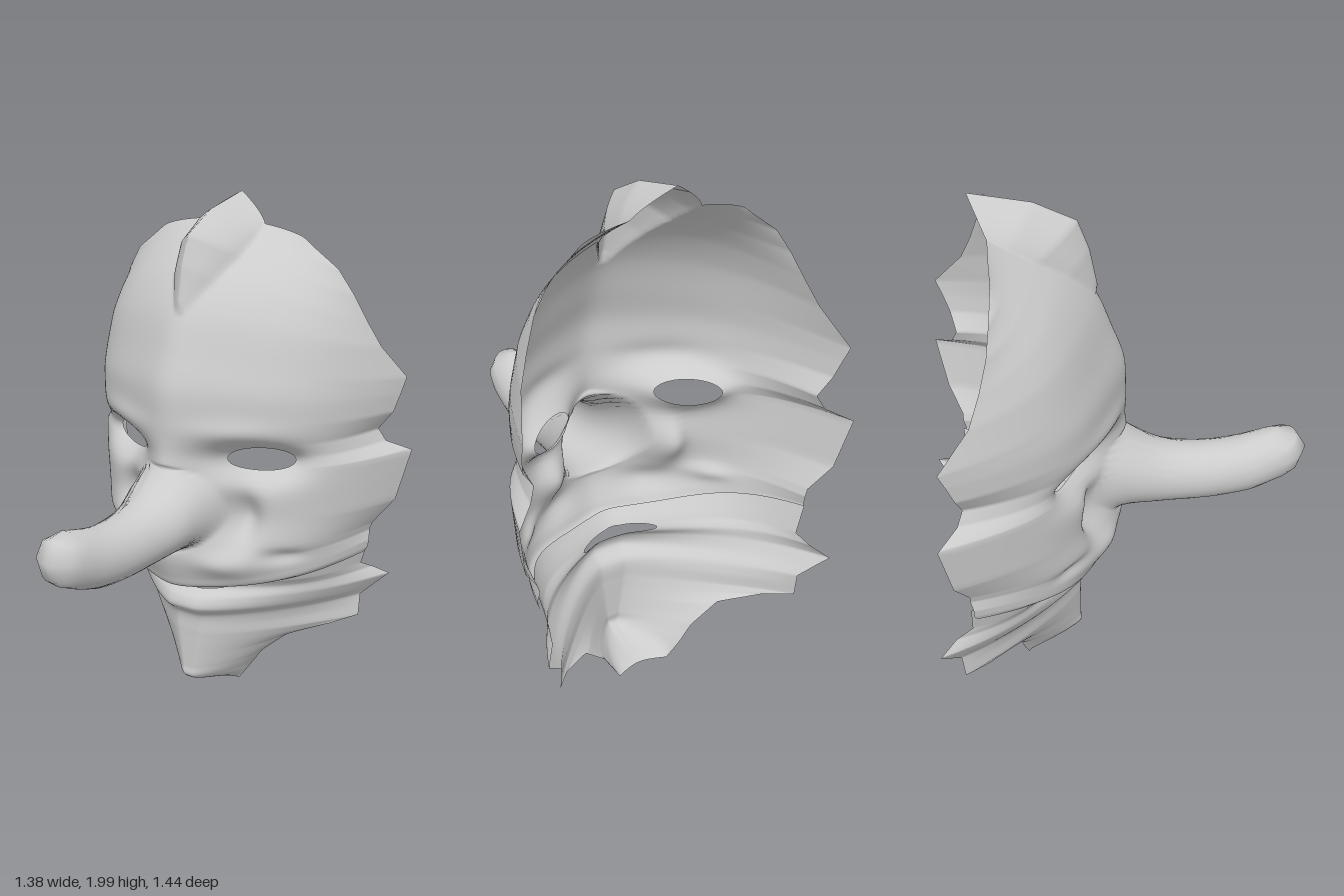
import * as THREE from 'three';

const { lerp, clamp, smoothstep } = THREE.MathUtils;
const material = new THREE.MeshStandardMaterial({ color: 0xcccccc, side: THREE.DoubleSide });

// Rows run from top to bottom: centre y, edge y, centre z, edge x, edge z,
// and optionally crest half-width, crest y, crest z.
const FACE = [
  [1.90, 1.84, -0.46, 0.33, -0.46, 0.14, 2.00, -0.52],
  [1.86, 1.75, -0.38, 0.45, -0.475, 0.14, 1.955, -0.30],
  [1.80, 1.66, -0.28, 0.51, -0.49, 0.13, 1.88, -0.15],
  [1.72, 1.56, -0.18, 0.555, -0.52, 0.09, 1.77, -0.11],
  [1.60, 1.46, -0.09, 0.60, -0.56, 0.02, 1.61, -0.08],
  [1.45, 1.33, -0.03, 0.66, -0.67],
  [1.33, 1.27, 0.01, 0.65, -0.645],
  [1.22, 1.20, 0.015, 0.635, -0.62],
  [1.13, 1.13, 0.01, 0.585, -0.60],
  [1.07, 1.08, 0.00, 0.61, -0.62],
  [1.02, 1.04, 0.00, 0.69, -0.69],
  [0.84, 0.84, -0.02, 0.65, -0.65],
  [0.72, 0.74, 0.00, 0.58, -0.60],
  [0.66, 0.71, 0.00, 0.57, -0.60],
  [0.57, 0.67, -0.03, 0.575, -0.59],
  [0.53, 0.64, -0.05, 0.57, -0.59],
  [0.515, 0.62, -0.12, 0.56, -0.58],
];
const BEARD = [
  [0.58, 0.67, -0.11, 0.57, -0.60],
  [0.52, 0.56, -0.16, 0.54, -0.60],
  [0.49, 0.53, -0.165, 0.56, -0.66],
  [0.45, 0.49, -0.125, 0.61, -0.72],
  [0.41, 0.44, -0.115, 0.56, -0.68],
  [0.36, 0.40, -0.165, 0.52, -0.65],
  [0.28, 0.31, -0.17, 0.52, -0.64],
  [0.23, 0.285, -0.17, 0.44, -0.55],
  [0.18, 0.24, -0.17, 0.30, -0.45],
  [0.12, 0.15, -0.17, 0.20, -0.42],
  [0.08, 0.08, -0.17, 0.155, -0.41],
  [0.01, 0.01, -0.36, 0.11, -0.39],
];
// Nose rings from root to tip: z, centre y, half-width, half-height.
const NOSE = [
  [-0.07, 0.86, 0.20, 0.18], [0.02, 0.855, 0.165, 0.16], [0.10, 0.825, 0.142, 0.13],
  [0.20, 0.805, 0.122, 0.115], [0.35, 0.80, 0.114, 0.11], [0.50, 0.82, 0.11, 0.11],
  [0.62, 0.862, 0.10, 0.105], [0.68, 0.868, 0.07, 0.075], [0.72, 0.87, 0, 0],
];
const nosePath = new THREE.CatmullRomCurve3(NOSE.map(r => new THREE.Vector3(0, r[1], r[0])));
const noseSize = new THREE.CatmullRomCurve3(NOSE.map(r => new THREE.Vector3(r[2], r[3], 0)));

// Soft hollows and swellings, mirrored: x, y, x-spread, y-spread, depth.
const RELIEF = [
  [0.30, 1.05, 0.14, 0.07, -0.15],
  [0.25, 1.17, 0.16, 0.05, 0.02],
  [0.25, 0.83, 0.07, 0.11, -0.08],
  [0.40, 0.68, 0.06, 0.03, -0.03],
  [0.22, 0.64, 0.10, 0.05, 0.03],
  [0.00, 1.04, 0.09, 0.07, 0.02],
];
const relief = (x, y) => RELIEF.reduce((sum, [cx, cy, sx, sy, a]) =>
  sum + a * Math.exp(-(((Math.abs(x) - cx) / sx) ** 2) - ((y - cy) / sy) ** 2), 0);

// Draws the root ellipse of the face out into the long nose
function pullNose(p) {
  const [, cy, rx, ry] = NOSE[0];
  const dx = p.x / rx, dy = (p.y - cy) / ry, d = Math.hypot(dx, dy);
  if (d >= 1) return;
  const a = Math.atan2(dy, dx), centre = nosePath.getPoint(1 - d), size = noseSize.getPoint(1 - d);
  const ring = new THREE.Vector3(Math.cos(a) * size.x, centre.y + Math.sin(a) * size.y, centre.z);
  p.lerp(ring, smoothstep(1 - d, 0, 0.2));
}

// Pointed crest over the forehead
function raiseCrest(p, width, y, z) {
  const t = (1 - Math.abs(p.x) / width) ** 0.8;
  p.y = lerp(p.y, y, t);
  p.z = lerp(p.z, z, t);
}

// Curved symmetric sheet with elliptical holes [x, y, rx, ry].
function sheet(name, rows, sweep, holes, shape) {
  const cols = 128, steps = 8, last = rows.length - 1, count = last * steps;
  const centre = new THREE.CatmullRomCurve3(rows.map(r => new THREE.Vector3(r[0], r[2], 0)));
  const at = (v, c) => {
    const w = clamp(v, 0, last), k = Math.min(Math.floor(w), last - 1);
    return lerp(rows[k][c], rows[k + 1][c], w - k);
  };
  // Average over neighbouring rows, so notches stay near the rim
  const soft = (v, c) => [-2, -1, 0, 1, 2].reduce((sum, o) => sum + at(v + o, c) / 5, 0);
  const positions = [], index = [], inside = [];
  for (let i = 0; i <= count; i++) {
    const v = i / steps, mid = centre.getPoint(i / count);
    const edgeX = at(v, 3), edgeZ = at(v, 4), softZ = soft(v, 4);
    const softX = Math.min(soft(v, 3), edgeX * 1.2);
    for (let j = 0; j <= cols; j++) {
      const u = j / cols * 2 - 1;
      const half = lerp(softX, edgeX, u ** 4);
      const p = new THREE.Vector3(u * half, lerp(mid.x, at(v, 1), u * u), 0);
      // Vertices inside a hole slide out to its rim
      let hit = false;
      for (const [hx, hy, rx, ry] of holes) {
        const dx = (p.x - hx) / rx, dy = (p.y - hy) / ry, d = Math.hypot(dx, dy);
        if (d < 1) {
          hit = true;
          if (d > 1e-4) p.set(hx + dx / d * rx, hy + dy / d * ry, 0);
        }
      }
      const s = Math.abs(p.x) / half;
      p.z = lerp(mid.y, softZ, sweep(s, i / count)) + (edgeZ - softZ) * s ** 8;
      shape(p);
      const crest = at(v, 5);
      if (Math.abs(p.x) < crest) raiseCrest(p, crest, at(v, 6), at(v, 7));
      inside.push(hit);
      positions.push(p.x, p.y, p.z);
    }
  }
  const add = (...tri) => { if (!tri.every(n => inside[n])) index.push(...tri); };
  for (let i = 0; i < count; i++) {
    for (let j = 0; j < cols; j++) {
      const a = i * (cols + 1) + j, b = a + cols + 1;
      add(a, b, b + 1);
      add(a, b + 1, a + 1);
    }
  }
  const geometry = new THREE.BufferGeometry();
  geometry.setAttribute('position', new THREE.Float32BufferAttribute(positions, 3));
  geometry.setIndex(index);
  geometry.computeVertexNormals();
  const mesh = new THREE.Mesh(geometry, material);
  mesh.name = name;
  return mesh;
}

export function createModel() {
  const mask = new THREE.Group();
  mask.name = 'mask';
  // How far the sheets have swept back at a share s of their half-width
  const faceSweep = s => 0.5 * (Math.hypot(s, 0.1) - 0.1) + 0.5475 * s ** 6;
  const beardSweep = s => (Math.max(0, s - 0.1) / 0.9) ** 1.3;
  // Forehead, cheeks, nose and upper lip, open at the eyes
  mask.add(sheet('face', FACE, faceSweep,
    [[0.295, 1.055, 0.108, 0.048], [-0.295, 1.055, 0.108, 0.048]],
    p => { p.z += relief(p.x, p.y); pullNose(p); }));
  // Jaw and beard tucked behind the upper lip, open at the mouth
  mask.add(sheet('beard', BEARD, (s, f) => lerp(faceSweep(s), beardSweep(s), Math.min(1, f * 2)),
    [[0, 0.505, 0.165, 0.022]], () => {}));
  return mask;
}
